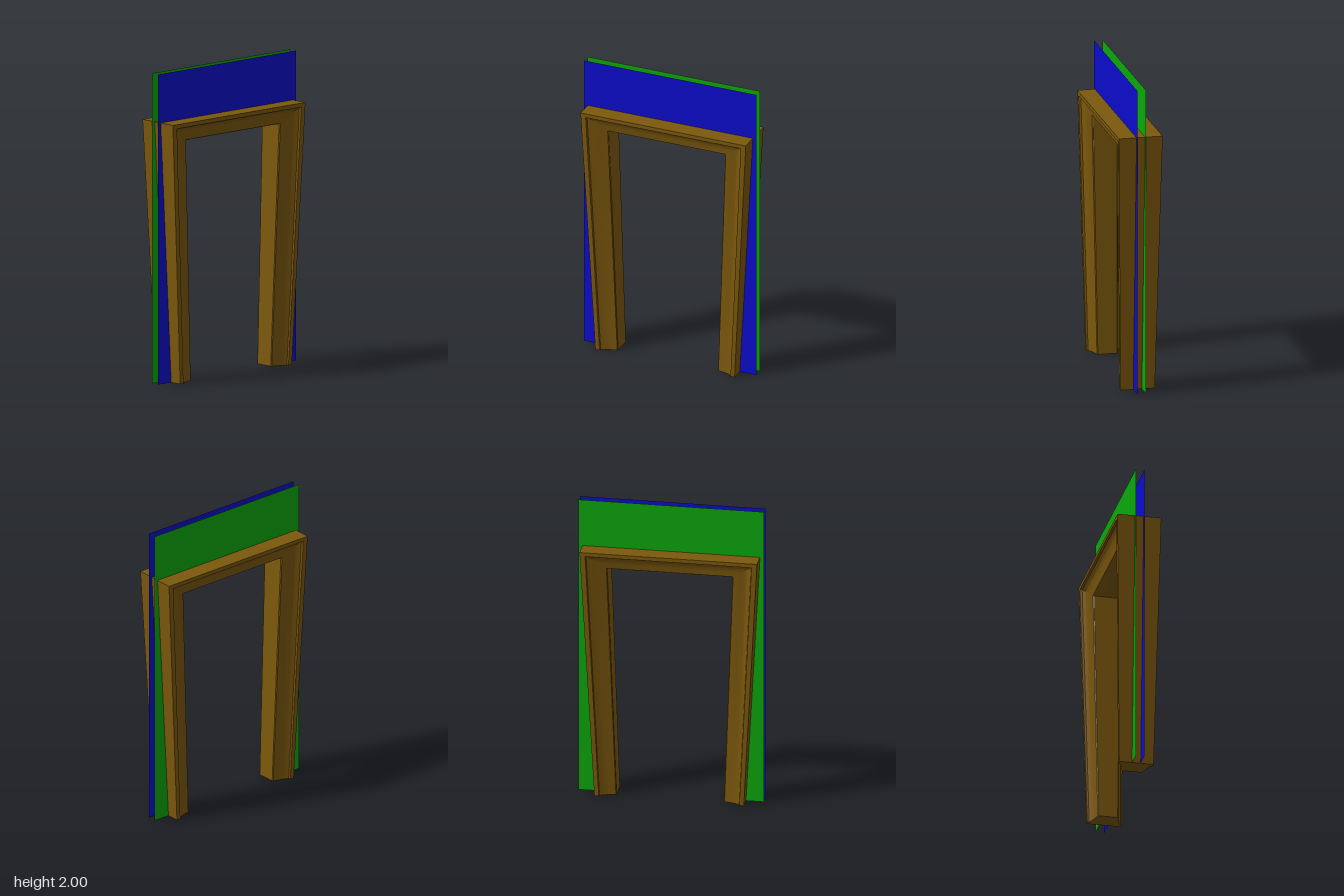
import * as THREE from 'three';
import { toCreasedNormals } from 'three/addons/utils/BufferGeometryUtils.js';

// Stations along the frame: outer corner, inner corner, half depth
const stations = [
  { outer: [0.48, 0], inner: [0.345, 0], depth: 0.112 },
  { outer: [0.57, 1.685], inner: [0.402, 1.56], depth: 0.142 },
  { outer: [-0.57, 1.685], inner: [-0.402, 1.56], depth: 0.142 },
  { outer: [-0.48, 0], inner: [-0.345, 0], depth: 0.112 },
];

// Moulding: u runs from the outer to the inner edge, v is a share of the half depth
const moulding = [[0, 1], [0.21, 1], [0.235, 0.9], [0.42, 0.78], [0.68, 0.68], [0.97, 0.6], [1, 0.55]];

const at = (s, u) => [0, 1].map((i) => s.outer[i] + (s.inner[i] - s.outer[i]) * u);

function makeFrame() {
  const back = moulding.map(([u, v]) => [u, -v]).reverse();
  const profile = new THREE.Shape([...moulding, ...back].map(([u, v]) => new THREE.Vector2(u, v)));
  const geometry = new THREE.ExtrudeGeometry(profile, { depth: 3, steps: 3, bevelEnabled: false });
  // Bend the straight moulding up one jamb, across the lintel and down the other
  const p = geometry.attributes.position;
  for (let i = 0; i < p.count; i++) {
    const s = stations[Math.round(p.getZ(i))];
    const [x, y] = at(s, p.getX(i));
    p.setXYZ(i, x, y, p.getY(i) * s.depth);
  }
  const mesh = new THREE.Mesh(
    toCreasedNormals(geometry, 0.6),
    new THREE.MeshStandardMaterial({ color: 0x7c580c })
  );
  mesh.name = 'doorFrame';
  return mesh;
}

// Thin wall sheet whose doorway edge is hidden inside the frame
function makeWall(name, color, z) {
  const w = 0.595;
  const outline = [...stations.map((s) => at(s, 0.5)), [-w, 0], [-w, 2], [w, 2], [w, 0]];
  const geometry = new THREE.ShapeGeometry(new THREE.Shape(outline.map(([x, y]) => new THREE.Vector2(x, y))));
  if (z < 0) geometry.rotateY(Math.PI);
  const mesh = new THREE.Mesh(geometry, new THREE.MeshStandardMaterial({ color, side: THREE.DoubleSide }));
  mesh.position.z = z;
  mesh.name = name;
  return mesh;
}

export function createModel() {
  const group = new THREE.Group();
  group.name = 'doorway';
  group.add(
    makeFrame(),
    makeWall('frontWall', 0x0c0ccc, 0.028),
    makeWall('backWall', 0x0aa80a, -0.028)
  );
  return group;
}
